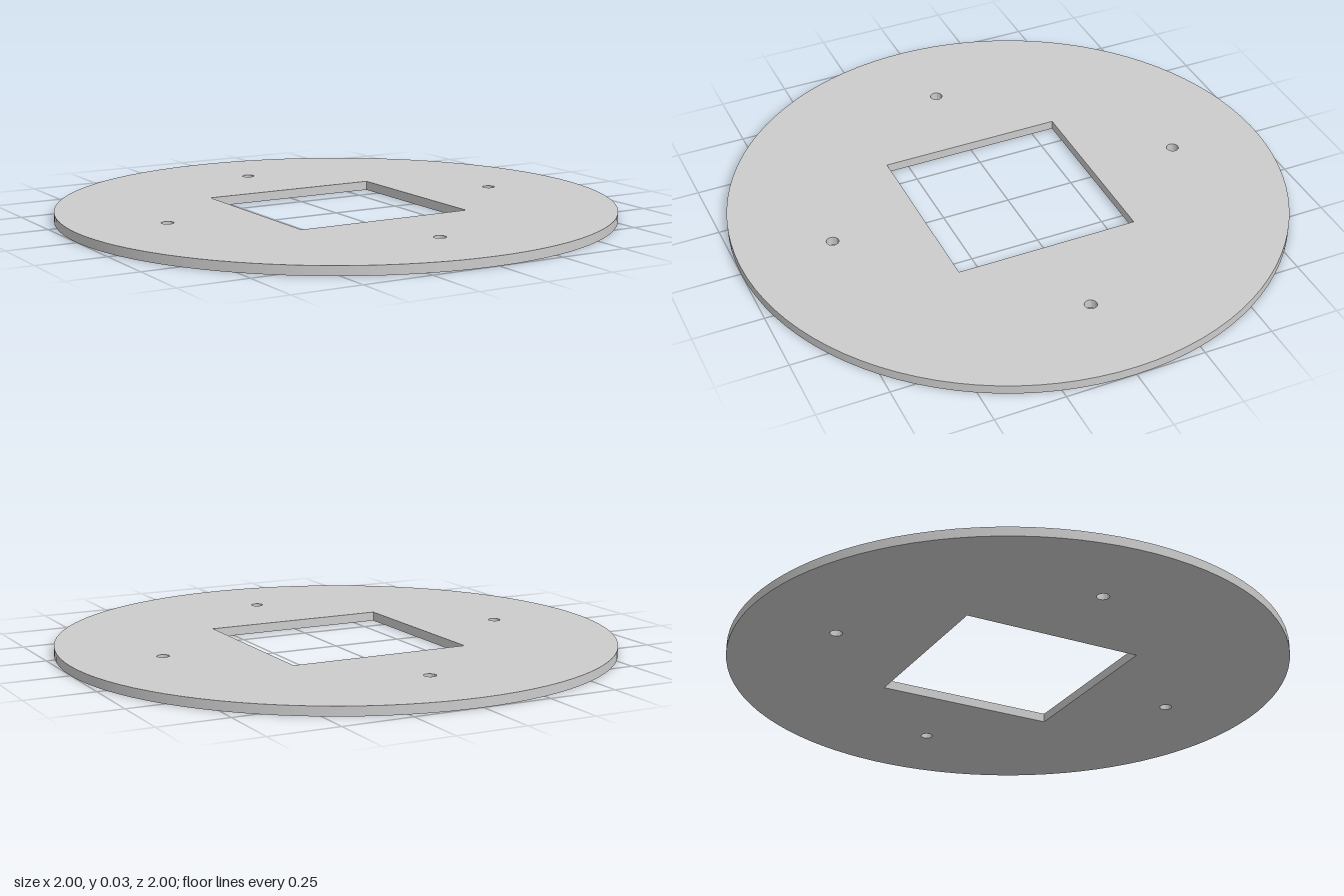
import * as THREE from 'three';
import { toCreasedNormals } from 'three/addons/utils/BufferGeometryUtils.js';

const THICKNESS = 0.033;
const OPENING = 1 / 3;      // half side of the square opening
const HOLE_DISTANCE = 2 / 3;
const HOLE_RADIUS = 0.022;

function circle(PathType, x, y, radius) {
  const path = new PathType();
  path.absarc(x, y, radius, 0, Math.PI * 2, false);
  return path;
}

export function createModel() {
  const group = new THREE.Group();
  group.name = 'mountingPlate';

  // Round outline
  const outline = circle(THREE.Shape, 0, 0, 1);

  // Square central opening
  outline.holes.push(new THREE.Path([
    new THREE.Vector2(-OPENING, -OPENING),
    new THREE.Vector2(-OPENING, OPENING),
    new THREE.Vector2(OPENING, OPENING),
    new THREE.Vector2(OPENING, -OPENING),
  ].concat(new THREE.Vector2(-OPENING, -OPENING))));

  // Four screw holes
  for (let i = 0; i < 4; i++) {
    const a = (i * Math.PI) / 2;
    outline.holes.push(circle(THREE.Path, HOLE_DISTANCE * Math.cos(a), HOLE_DISTANCE * Math.sin(a), HOLE_RADIUS));
  }

  // Flat disc, laid down on the ground
  const geometry = new THREE.ExtrudeGeometry(outline, { depth: THICKNESS, bevelEnabled: false, curveSegments: 48 });
  geometry.rotateX(-Math.PI / 2);
  const plate = new THREE.Mesh(
    toCreasedNormals(geometry, Math.PI / 6),
    new THREE.MeshStandardMaterial({ color: 0xcccccc }),
  );
  plate.name = 'plate';
  group.add(plate);
  return group;
}
